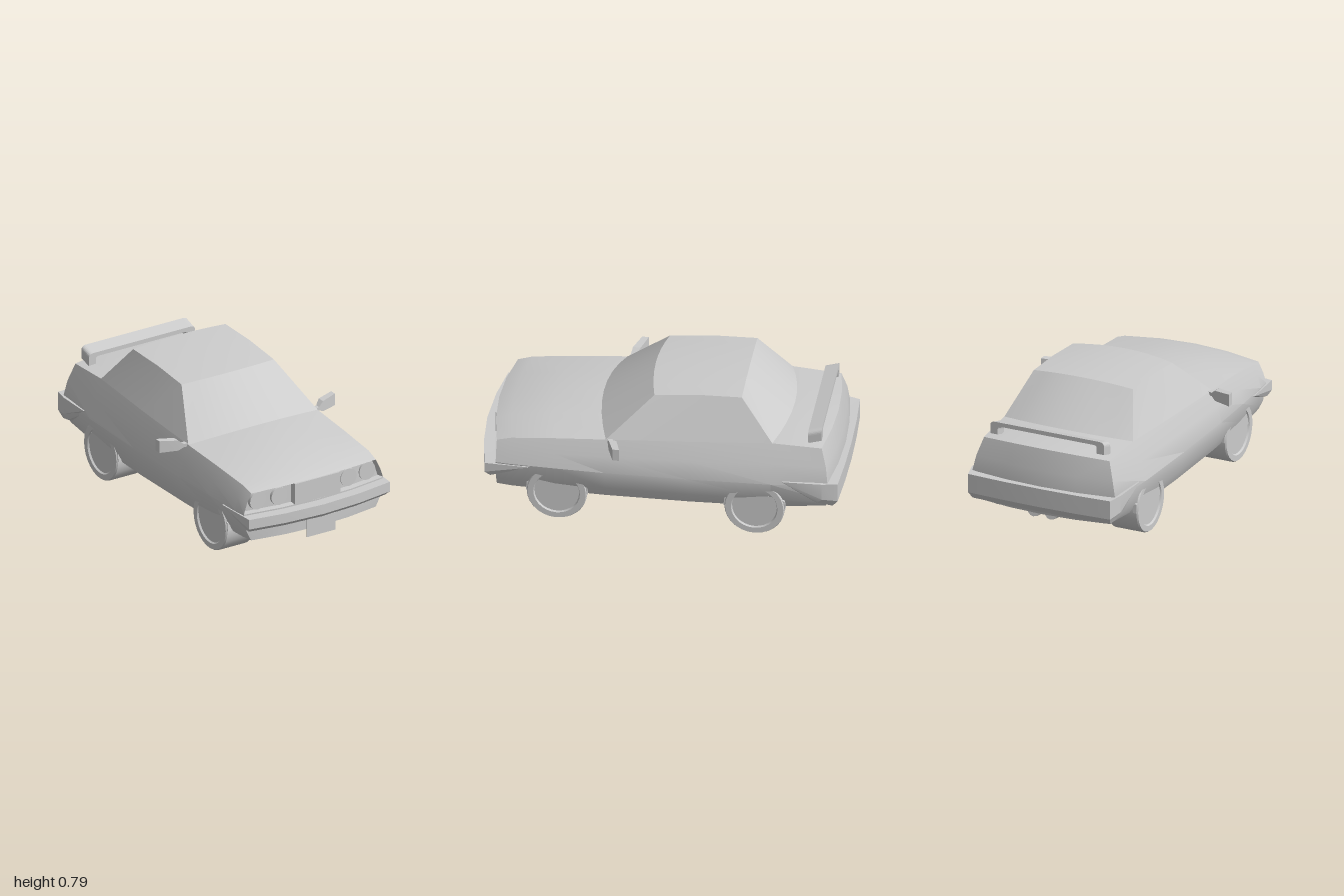
import * as THREE from 'three';
import { toCreasedNormals } from 'three/addons/utils/BufferGeometryUtils.js';

const material = new THREE.MeshStandardMaterial({ color: 0xcccccc });
const thin = new THREE.MeshStandardMaterial({ color: 0xcccccc, side: THREE.DoubleSide });
const lerp = THREE.MathUtils.lerp;

// Surface through rows of [x, y, z] points; its front is columns x rows.
function grid(rows, crease = 0.45) {
  const n = rows[0].length, index = [];
  for (let i = 0; i < rows.length - 1; i++) {
    for (let j = 0; j < n - 1; j++) {
      const a = i * n + j, b = a + 1, c = a + n, d = c + 1;
      index.push(a, b, d, a, d, c);
    }
  }
  const g = new THREE.BufferGeometry();
  g.setAttribute('position', new THREE.Float32BufferAttribute(rows.flat(2), 3));
  g.setIndex(index);
  return toCreasedNormals(g, crease);
}

// Body stations, rear to front: width and height at sill, waist and shoulder,
// crown height, bow of the section towards the middle, rake of the waist.
const stations = [
  { z: -0.89, bow: -0.04, wb: 0.39, yb: 0.175, wm: 0.435, ws: 0.38, ys: 0.535, yc: 0.55, rake: -0.04 },
  { z: -0.62, bow: -0.07, wb: 0.41, yb: 0.155, wm: 0.465, ws: 0.39, ys: 0.55, yc: 0.575, rake: 0 },
  { z: -0.165, bow: 0, wb: 0.425, yb: 0.155, wm: 0.477, ws: 0.412, ys: 0.532, yc: 0.535, rake: 0 },
  { z: 0.29, bow: 0.07, wb: 0.425, yb: 0.155, wm: 0.478, ws: 0.42, ys: 0.51, yc: 0.555, rake: 0 },
  { z: 0.57, bow: 0.05, wb: 0.415, yb: 0.155, wm: 0.47, ws: 0.415, ys: 0.49, yc: 0.525, rake: 0 },
  { z: 0.81, bow: 0.04, wb: 0.41, yb: 0.16, wm: 0.46, ws: 0.41, ys: 0.468, yc: 0.49, rake: 0 },
  { z: 0.89, bow: 0.045, wb: 0.405, yb: 0.165, wm: 0.452, ws: 0.405, ys: 0.445, yc: 0.458, rake: 0 },
];

// Point on a section: level 0 (sill) to 4 (shoulder), f from -1 (right) to 1 (left).
function bodyPoint(s, level, f) {
  const profile = [
    [s.wb, s.yb, s.rake * 0.6], [lerp(s.wb, s.wm, 0.6), 0.22, s.rake], [s.wm, 0.33, s.rake],
    [lerp(s.wm, s.ws, 0.4), lerp(0.33, s.ys, 0.5), s.rake * 0.7], [s.ws, s.ys, 0],
  ];
  const i = Math.min(3, Math.floor(level)), t = level - i;
  const [w, y, dz] = profile[i].map((v, k) => lerp(v, profile[i + 1][k], t));
  const arc = 1 - f * f;
  const crown = level > 3 ? (level - 3) * (s.yc - s.ys) * arc : 0;
  return [w * f, y + crown, s.z + dz + s.bow * arc];
}

function bodyRing(s) {
  const path = [[0, 0], [0, 0.5]];
  for (let l = 0; l <= 4; l++) path.push([l, 1]);
  path.push([4, 0.5], [4, 0], [4, -0.5]);
  for (let l = 4; l >= 0; l--) path.push([l, -1]);
  path.push([0, -0.5], [0, 0]);
  return path.map(([l, f]) => bodyPoint(s, l, f));
}

// Bumper from path points [x, z, top, middle, bottom] of the left half, tail first.
function bumper(half) {
  const path = [...half, ...half.slice(0, -1).reverse().map(([x, ...r]) => [-x, ...r])];
  if (half[0][1] > 0) path.reverse();
  return grid(path.map(([x, z, top, mid, low]) => [
    [x * 0.9, top, z * 0.92], [x, top, z], [x, mid, z], [x * 0.97, low, z * 0.97], [x * 0.88, low, z * 0.9],
  ]), 0.4);
}

export function createModel() {
  const car = new THREE.Group();
  const add = (name, geometry, mat = material, x = 0, y = 0, z = 0) => {
    const mesh = new THREE.Mesh(geometry, mat);
    mesh.name = name;
    mesh.position.set(x, y, z);
    car.add(mesh);
    return mesh;
  };

  // Lower body, tail and nose with the recessed lamp band
  add('bodyShell', grid(stations.map(bodyRing)));
  const tail = stations[0], nose = stations[stations.length - 1];
  add('tailPanel', grid([0, 1, 2, 3, 4].map((l) => [1, 0.5, 0, -0.5, -1].map((f) => bodyPoint(tail, l, f)))));
  const columns = [-1, -0.97, -0.5, 0, 0.5, 0.97, 1];
  add('nosePanel', grid([0, 1, 2, 2.05, 3, 3.92, 4].map((l) => columns.map((f) => {
    const p = bodyPoint(nose, l, f);
    if (l > 2 && l < 4 && Math.abs(f) < 1) p[2] -= 0.035;
    return p;
  }))));

  // Cabin: windscreen, roof and rear window in one strip: [half width, z, y, middle z, middle y]
  const cabin = [
    [0.42, 0.29, 0.51, 0.36, 0.555], [0.3, 0.04, 0.745, 0.075, 0.76], [0.3, -0.2, 0.768, -0.19, 0.782],
    [0.3, -0.44, 0.773, -0.44, 0.785], [0.39, -0.62, 0.55, -0.69, 0.575],
  ];
  add('roofAndScreens', grid(cabin.map(([w, z, y, mz, my]) => [-1, -0.75, -0.5, -0.25, 0, 0.25, 0.5, 0.75, 1].map((f) =>
    [w * f, lerp(my, y, f * f), lerp(mz, z, f * f)]))));
  for (const s of [1, -1]) {
    const low = [[0.42, 0.51, 0.29], [0.412, 0.532, -0.165], [0.39, 0.55, -0.62]];
    const high = [[0.3, 0.745, 0.04], [0.3, 0.768, -0.2], [0.3, 0.773, -0.44]];
    const rows = [low, high].map((r) => r.map(([x, y, z]) => [x * s, y, z]));
    if (s < 0) rows.reverse();
    add(s > 0 ? 'leftSideWindow' : 'rightSideWindow', grid(rows));
  }

  // Wrap-around bumpers
  add('frontBumper', bumper([
    [0.472, 0.71, 0.325, 0.322, 0.318], [0.457, 0.95, 0.322, 0.265, 0.238],
    [0.24, 0.985, 0.322, 0.265, 0.238], [0, 1, 0.322, 0.265, 0.238],
  ]));
  add('rearBumper', bumper([
    [0.462, -0.69, 0.35, 0.347, 0.344], [0.452, -0.9, 0.347, 0.25, 0.22],
    [0.43, -0.985, 0.343, 0.235, 0.195], [0.22, -0.996, 0.343, 0.235, 0.195], [0, -1, 0.343, 0.235, 0.195],
  ]));

  // Grille, plate and round lamps
  add('grille', new THREE.BoxGeometry(0.295, 0.122, 0.06), material, 0, 0.392, 0.904);
  add('frontPlate', new THREE.BoxGeometry(0.187, 0.105, 0.006), material, 0, 0.188, 0.965);
  for (const s of [1, -1]) {
    for (const [x, z] of [[0.225, 0.882], [0.355, 0.868]]) {
      const lamp = new THREE.CylinderGeometry(0.052, 0.052, 0.03, 24).rotateX(Math.PI / 2);
      add('headlight', lamp, material, s * x, 0.387, z);
    }
  }

  // Wheels with a recessed disc, and arch plates behind them
  const tyre = [[0, 0], [0.165, 0], [0.165, 0.172], [0.16, 0.18], [0.128, 0.18], [0.122, 0.17], [0, 0.17]]
    .map(([r, h]) => new THREE.Vector2(r, h));
  const arch = new THREE.Shape([[-0.17, 0.165], [0.17, 0.165], [0.165, 0.215], [0.12, 0.24], [-0.12, 0.24], [-0.165, 0.215]]
    .map(([z, y]) => new THREE.Vector2(z, y)));
  for (const s of [1, -1]) {
    for (const z of [0.555, -0.53]) {
      const wheel = toCreasedNormals(new THREE.LatheGeometry(tyre, 28), 0.5).rotateZ(-s * Math.PI / 2);
      add('wheel', wheel, material, s * 0.275, 0.165, z);
      const plate = new THREE.ExtrudeGeometry(arch, { depth: 0.02, bevelEnabled: false }).rotateY(Math.PI / 2);
      add('wheelArch', plate, material, s > 0 ? 0.428 : -0.448, 0, z);
    }
  }

  // Door mirrors: tapered arm widening into the housing [x, y0, y1, z0, z1]
  const arm = [[0.41, 0.495, 0.515, 0.255, 0.285], [0.44, 0.495, 0.515, 0.245, 0.275],
    [0.47, 0.48, 0.54, 0.225, 0.268], [0.57, 0.477, 0.547, 0.195, 0.232], [0.57, 0.51, 0.511, 0.213, 0.214]];
  for (const s of [1, -1]) {
    const rows = arm.map(([x, y0, y1, z0, z1]) =>
      [[y0, z0], [y1, z0], [y1, z1], [y0, z1], [y0, z0]].map(([y, z]) => [s * x, y, z]));
    if (s < 0) rows.reverse();
    add(s > 0 ? 'leftMirror' : 'rightMirror', grid(rows, 0.3), thin);
  }

  // Rear spoiler: raised bar with rounded corners on two legs
  const bar = new THREE.Shape();
  bar.moveTo(-0.345, 0.54);
  bar.lineTo(-0.3, 0.54);
  bar.lineTo(-0.3, 0.57);
  bar.quadraticCurveTo(-0.3, 0.588, -0.28, 0.588);
  bar.lineTo(0.28, 0.588);
  bar.quadraticCurveTo(0.3, 0.588, 0.3, 0.57);
  bar.lineTo(0.3, 0.54);
  bar.lineTo(0.345, 0.54);
  bar.lineTo(0.345, 0.585);
  bar.quadraticCurveTo(0.345, 0.612, 0.315, 0.612);
  bar.lineTo(-0.315, 0.612);
  bar.quadraticCurveTo(-0.345, 0.612, -0.345, 0.585);
  const spoiler = new THREE.ExtrudeGeometry(bar, { depth: 0.075, bevelEnabled: false, curveSegments: 6 });
  const p = spoiler.attributes.position;
  for (let i = 0; i < p.count; i++) p.setY(i, p.getY(i) + (0.075 - p.getZ(i)) * 0.3);
  spoiler.computeVertexNormals();
  add('spoiler', spoiler, material, 0, 0, -0.885);

  // Twin exhaust pipes, sloping down to the rear
  for (const s of [1, -1]) {
    const pipe = new THREE.CylinderGeometry(0.04, 0.04, 0.25, 12).rotateX(Math.PI / 2 - 0.16);
    pipe.rotateY(Math.PI);
    add('exhaustPipe', pipe, material, s * 0.052, 0.17, -0.82);
  }
  return car;
}
